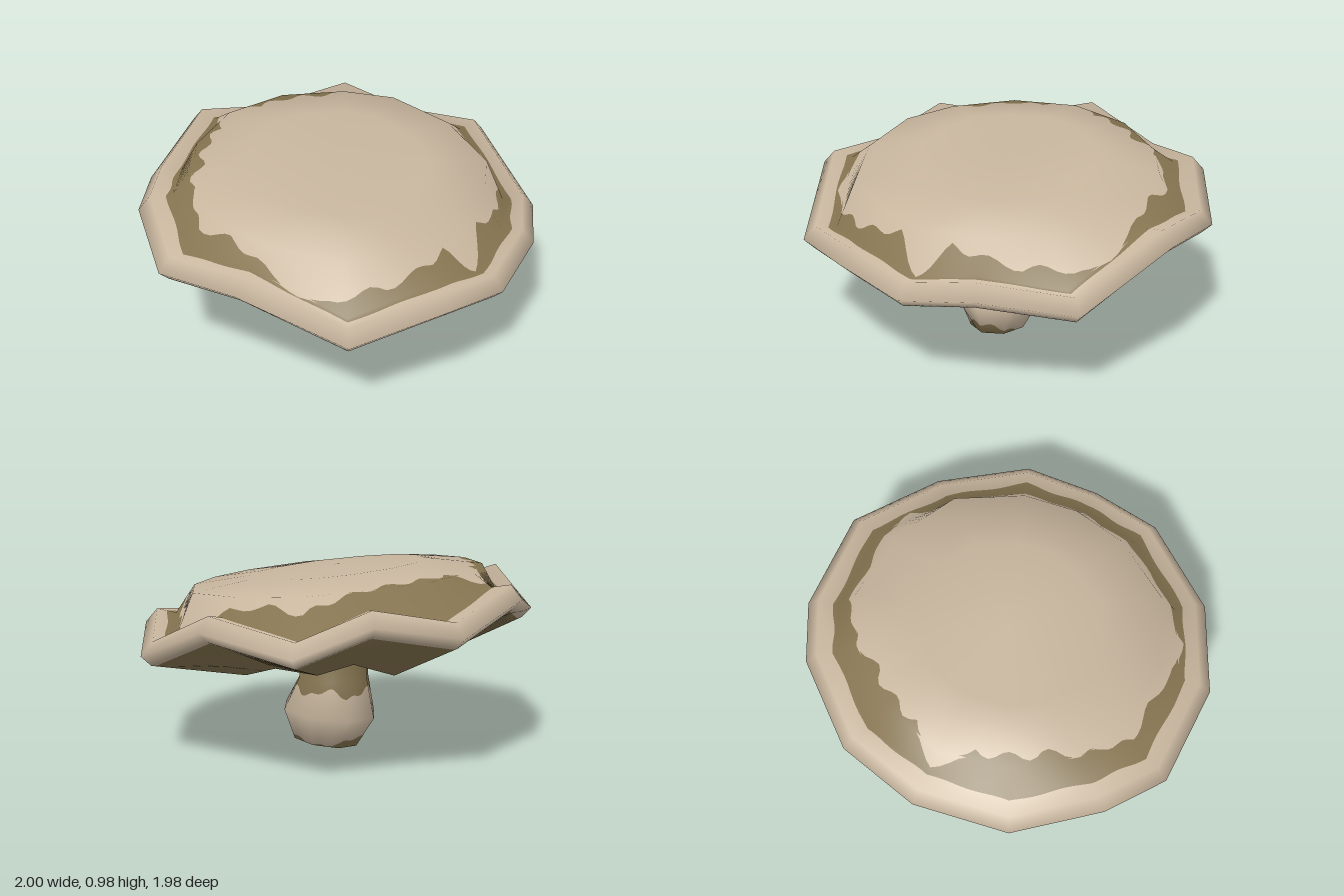
import * as THREE from 'three';

const cream = new THREE.MeshStandardMaterial({ color: 0xc8b69e, name: 'cream skin' });
const olive = new THREE.MeshStandardMaterial({ color: 0x857450, name: 'olive patches' });

// Outline of the cap rim, front to back along the left half: x, height, z
const RIM = [
  [0, 0.57, 0.985], [0.37, 0.63, 0.92], [0.78, 0.55, 0.67], [1, 0.75, 0.19],
  [1, 0.67, -0.29], [0.81, 0.81, -0.6], [0.45, 0.72, -0.88], [0, 0.84, -0.99],
];
// Heights of the lowest ring under the cap, front to back
const UNDER = [0.375, 0.43, 0.41, 0.49, 0.48, 0.53, 0.455, 0.6];
// Inner edge of the olive ring, in rows, two values per rim corner
const INNER = [3, 2.3, 2.5, 2.7, 2.6, 3.3, 2.6, 2.3, 2.4, 2.2, 1.97, 1.86, 1.83, 1.86, 2.7];

const clamp = THREE.MathUtils.clamp;
const lerp = THREE.MathUtils.lerp;
const mirror = (u) => (u <= 7 ? u : 14 - u);

function innerEdge(u) {
  const t = mirror(u) * 2;
  const i = Math.min(Math.floor(t), 13);
  return lerp(INNER[i], INNER[i + 1], t - i) + 0.09 * Math.sin(t * 5.1);
}

function outerEdge(u) {
  const t = mirror(u);
  return 3.3 + 0.15 * Math.cos(t * 0.45) + 0.05 * Math.sin(t * 8);
}

// Smooth normals of a coarse grid of rings
function gridNormals(rows) {
  const n = rows[0].length;
  const index = [];
  for (let r = 0; r < rows.length - 1; r++) {
    for (let c = 0; c < n; c++) {
      const a = r * n + c, d = r * n + (c + 1) % n;
      index.push(a, a + n, d + n, a, d + n, d);
    }
  }
  const g = new THREE.BufferGeometry().setFromPoints(rows.flat());
  g.setIndex(index);
  g.computeVertexNormals();
  const attr = g.getAttribute('normal');
  return rows.map((row, r) => row.map((p, c) => (
    row[0].distanceTo(row[1]) < 1e-6
      ? new THREE.Vector3(0, r ? -1 : 1, 0)
      : new THREE.Vector3().fromBufferAttribute(attr, r * n + c)
  )));
}

// Skin over rings of points, split into colour zones along wavy edges
function paintedSkin(name, rows, edges, materials, sub) {
  const n = rows[0].length;
  const normals = gridNormals(rows);
  const sample = (grid, c, f, r, v) => {
    const d = (c + 1) % n;
    const top = grid[r][c].clone().lerp(grid[r][d], f);
    return top.lerp(grid[r + 1][c].clone().lerp(grid[r + 1][d], f), v - r);
  };
  const limits = [() => 0, ...edges, () => rows.length - 1];
  const group = new THREE.Group();
  group.name = name;
  materials.forEach((material, zone) => {
    const pos = [], nor = [];
    for (let r = 0; r < rows.length - 1; r++) {
      for (let s = 0; s < n * sub; s++) {
        const c = Math.floor(s / sub);
        const f0 = (s % sub) / sub, f1 = f0 + 1 / sub;
        const at = (f, k) => clamp(limits[zone + k](c + f), r, r + 1);
        const a = [f0, at(f0, 0)], b = [f0, at(f0, 1)];
        const e = [f1, at(f1, 1)], d = [f1, at(f1, 0)];
        b[1] = Math.max(a[1], b[1]);
        e[1] = Math.max(d[1], e[1]);
        if (b[1] - a[1] + e[1] - d[1] < 1e-6) continue;
        for (const [f, v] of [a, b, e, a, e, d]) {
          pos.push(...sample(rows, c, f, r, v).toArray());
          nor.push(...sample(normals, c, f, r, v).normalize().toArray());
        }
      }
    }
    const g = new THREE.BufferGeometry();
    g.setAttribute('position', new THREE.Float32BufferAttribute(pos, 3));
    g.setAttribute('normal', new THREE.Float32BufferAttribute(nor, 3));
    const mesh = new THREE.Mesh(g, material);
    mesh.name = `${name}Zone${zone + 1}`;
    group.add(mesh);
  });
  return group;
}

function createCap() {
  // Each ring: scale of the outline and its height rule (rim height, z, corner)
  const rings = [
    [0, () => 0.945],
    [0.45, (y, z) => 0.93 - 0.12 * z],
    [0.74, (y, z) => 0.89 - 0.09 * z],
    [0.84, (y) => y + 0.05],
    [0.94, (y) => y + 0.07],
    [1, (y) => y],
    [0.95, (y) => y - 0.05],
    [0.48, (y, z, i) => UNDER[i]],
    [0.16, () => 0.49],
  ];
  const rows = rings.map(([k, height]) => Array.from({ length: 14 }, (_, c) => {
    const i = mirror(c);
    const [x, y, z] = RIM[i];
    return new THREE.Vector3((c > 7 ? -x : x) * k, height(y, z * k, i), z * k);
  }));
  const outer = (u) => Math.max(innerEdge(u), outerEdge(u));
  return paintedSkin('cap', rows, [innerEdge, outer, () => 6.04],
    [cream, olive, cream, olive], 10);
}

function createStem() {
  // Each ring: height, half width, half depth, z centre, forward rise
  const rings = [
    [0.52, 0.165, 0.18, 0.01, 0],
    [0.36, 0.18, 0.19, 0.02, 0],
    [0.18, 0.22, 0.255, 0.045, 0.02],
    [0.02, 0.14, 0.18, 0.07, 0.016],
    [0.005, 0, 0, 0.07, 0],
  ];
  const rows = rings.map(([y, rx, rz, cz, rise]) => Array.from({ length: 8 }, (_, c) => {
    const a = c * Math.PI / 4;
    return new THREE.Vector3(Math.sin(a) * rx, y + rise * Math.cos(a), cz + Math.cos(a) * rz);
  }));
  const angle = (u) => u * Math.PI / 4;
  const upper = (u) => 1.3 + 0.1 * Math.cos(angle(u) * 5) + 0.06 * Math.cos(angle(u) * 11);
  const lower = (u) => 2.83 - 0.18 * Math.cos(angle(u) * 2) + 0.06 * Math.cos(angle(u) * 9);
  return paintedSkin('stem', rows, [upper, lower], [olive, cream, olive], 12);
}

export function createModel() {
  const model = new THREE.Group();
  model.name = 'mushroom';
  model.add(createCap(), createStem());
  return model;
}
